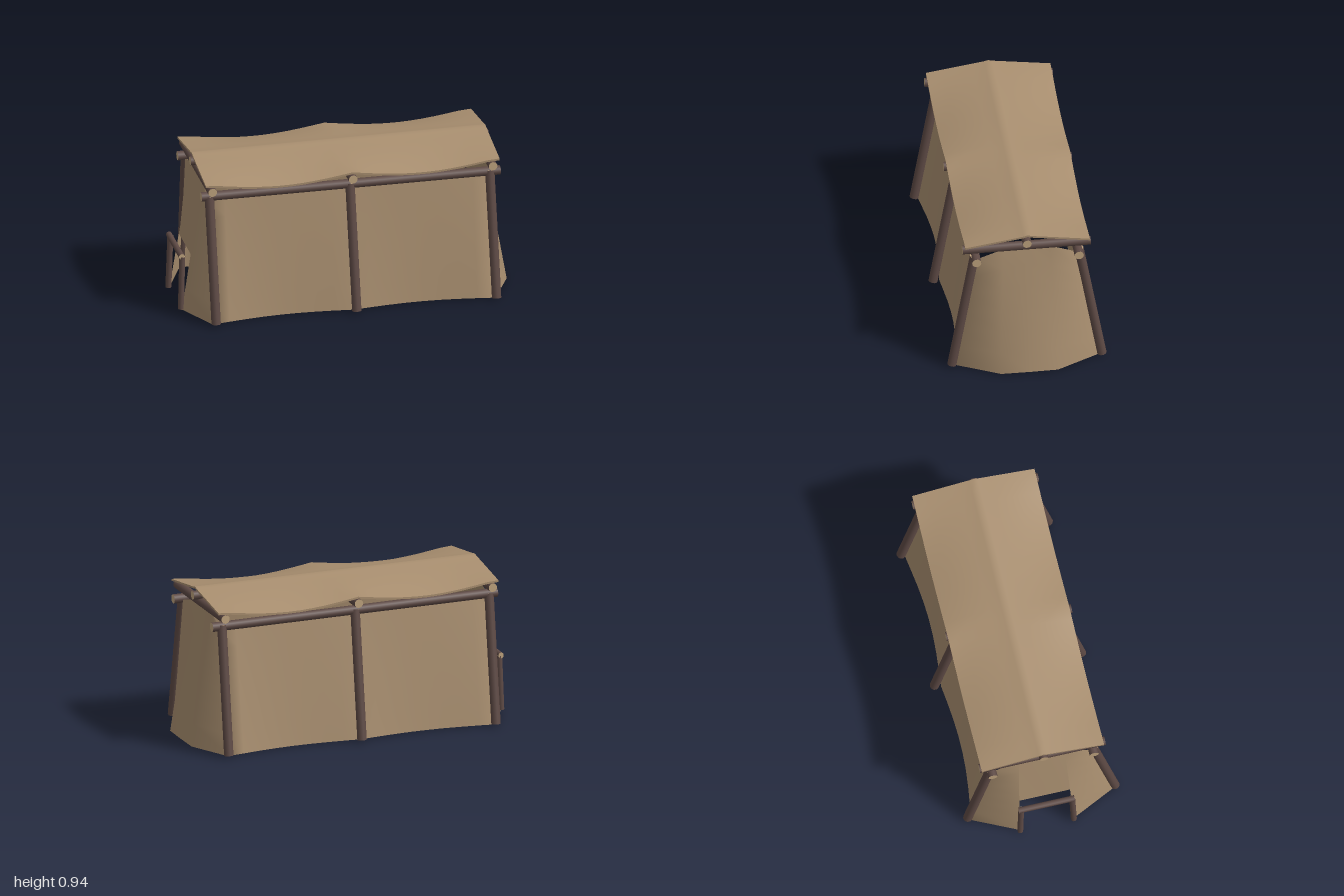
import * as THREE from 'three';
import { toCreasedNormals } from 'three/addons/utils/BufferGeometryUtils.js';

const bark = new THREE.MeshStandardMaterial({ color: 0x5e4a45 });
bark.name = 'bark';
const cutWood = new THREE.MeshStandardMaterial({ color: 0xbfa37e });
cutWood.name = 'cutWood';
const cloth = new THREE.MeshStandardMaterial({ color: 0xa88e6f, side: THREE.DoubleSide });
cloth.name = 'cloth';

const POSTS = [-0.84, 0.015, 0.865];

// Log between two points, with pale cut ends
function log(name, a, b, r) {
  const p = new THREE.Vector3(...a), q = new THREE.Vector3(...b);
  const dir = q.clone().sub(p);
  const mesh = new THREE.Mesh(
    new THREE.CylinderGeometry(r, r, dir.length(), 10), [bark, cutWood, cutWood]);
  mesh.position.copy(p).add(q).multiplyScalar(0.5);
  mesh.quaternion.setFromUnitVectors(new THREE.Vector3(0, 1, 0), dir.normalize());
  mesh.name = name;
  return mesh;
}

// Surface through equal-length rows of points
function surface(rows) {
  const n = rows[0].length, index = [];
  for (let i = 0; i < rows.length - 1; i++) {
    for (let j = 0; j < n - 1; j++) {
      const a = i * n + j, b = a + 1, c = a + n, d = c + 1;
      index.push(a, b, c, b, d, c);
    }
  }
  const g = new THREE.BufferGeometry();
  g.setAttribute('position', new THREE.Float32BufferAttribute(rows.flat(2), 3));
  g.setIndex(index);
  g.computeVertexNormals();
  return g;
}

// How far cloth hangs between posts: 0 at a post, 1 midway
function slack(x) {
  const [a, b, c] = POSTS;
  const t = x < b ? (x - a) / (b - a) : (x - b) / (c - b);
  return Math.sin(Math.PI * Math.min(1, Math.max(0, t)));
}

// Side and end walls: lofted from ground outline to top outline, open at the doorway
function wallGeometry() {
  const low = [], high = [];
  const add = (l, h) => { low.push(l); high.push(h); };
  const side = (s) => {
    for (let k = 0; k <= 16; k++) {
      const t = s > 0 ? k / 16 : 1 - k / 16;
      const x = -0.85 + 1.72 * t;
      const z = 0.41 + 0.02 * Math.abs(2 * t - 1) - 0.038 * slack(x);
      add([x, 0.006, s * z], [x, 0.77, s * 0.285]);
    }
  };
  add([-0.975, 0, 0.165], [-0.845, 0.82, 0.14]);
  side(1);
  add([0.998, 0.006, 0.17], [0.86, 0.815, 0.14]);
  add([1, 0.006, 0], [0.86, 0.855, 0]);
  add([0.998, 0.006, -0.17], [0.86, 0.815, -0.14]);
  side(-1);
  add([-0.975, 0, -0.165], [-0.845, 0.82, -0.14]);
  const rows = [];
  for (let i = 0; i <= 6; i++) {
    rows.push(low.map((p, j) => p.map((v, k) => v + (high[j][k] - v) * i / 6)));
  }
  return surface(rows);
}

// Cloth above the doorway lintel
function doorPanelGeometry() {
  const f = 0.35 / 0.82;
  const x = -0.975 + 0.13 * f, z = 0.165 - 0.025 * f;
  return surface([
    [[x, 0.35, -z], [x, 0.35, 0], [x, 0.35, z]],
    [[-0.845, 0.82, -0.14], [-0.845, 0.855, 0], [-0.845, 0.82, 0.14]],
  ]);
}

// Thin roof cloth: straight ridge, eaves drooping between the cross beams
function roofGeometry() {
  const zs = [-0.372, -0.28, -0.19, -0.1, -0.025, 0, 0.025, 0.1, 0.19, 0.28, 0.372];
  const rows = [];
  const section = (x, thick) => {
    const y = (z) => {
      const t = Math.abs(z) / 0.372;
      return 0.929 - 0.056 * t - 0.042 * slack(x) * t * t + (z === 0 ? 0.003 : 0);
    };
    const top = zs.map((z) => [x, y(z) + thick / 2, z]);
    const under = zs.map((z) => [x, y(z) - thick / 2, z]).reverse();
    return [...top, ...under, top[0]];
  };
  const x0 = -0.878, x1 = 0.908, n = 24;
  rows.push(section(x0, 0));
  for (let i = 0; i <= n; i++) rows.push(section(x0 + (x1 - x0) * i / n, 0.012));
  rows.push(section(x1, 0));
  // rows run along x, so reverse them to face outward
  return toCreasedNormals(surface(rows.reverse()), 0.6);
}

export function createModel() {
  const group = new THREE.Group();
  group.name = 'tent';
  const addCloth = (name, geometry) => {
    const mesh = new THREE.Mesh(geometry, cloth);
    mesh.name = name;
    group.add(mesh);
  };

  addCloth('walls', wallGeometry());
  addCloth('doorPanel', doorPanelGeometry());
  addCloth('roof', roofGeometry());

  // Leaning posts, eave logs and doorway posts on both sides
  for (const s of [1, -1]) {
    for (const x of POSTS) {
      group.add(log('post', [x + 0.007, 0.014, s * 0.448], [x - 0.003, 0.785, s * 0.312], 0.028));
    }
    group.add(log('eaveLog', [-0.893, 0.784, s * 0.308], [0.925, 0.775, s * 0.306], 0.028));
    group.add(log('doorPost', [-0.981, 0.006, s * 0.163], [-0.971, 0.34, s * 0.155], 0.018));
  }
  group.add(log('doorLintel', [-0.976, 0.343, -0.172], [-0.976, 0.343, 0.168], 0.018));

  // Cross beams and ridge log
  for (const x of POSTS) {
    group.add(log('crossBeam', [x, 0.838, -0.38], [x, 0.838, 0.385], 0.027));
  }
  group.add(log('ridgeLog', [-0.888, 0.886, 0.004], [0.922, 0.884, 0.004], 0.027));
  return group;
}
